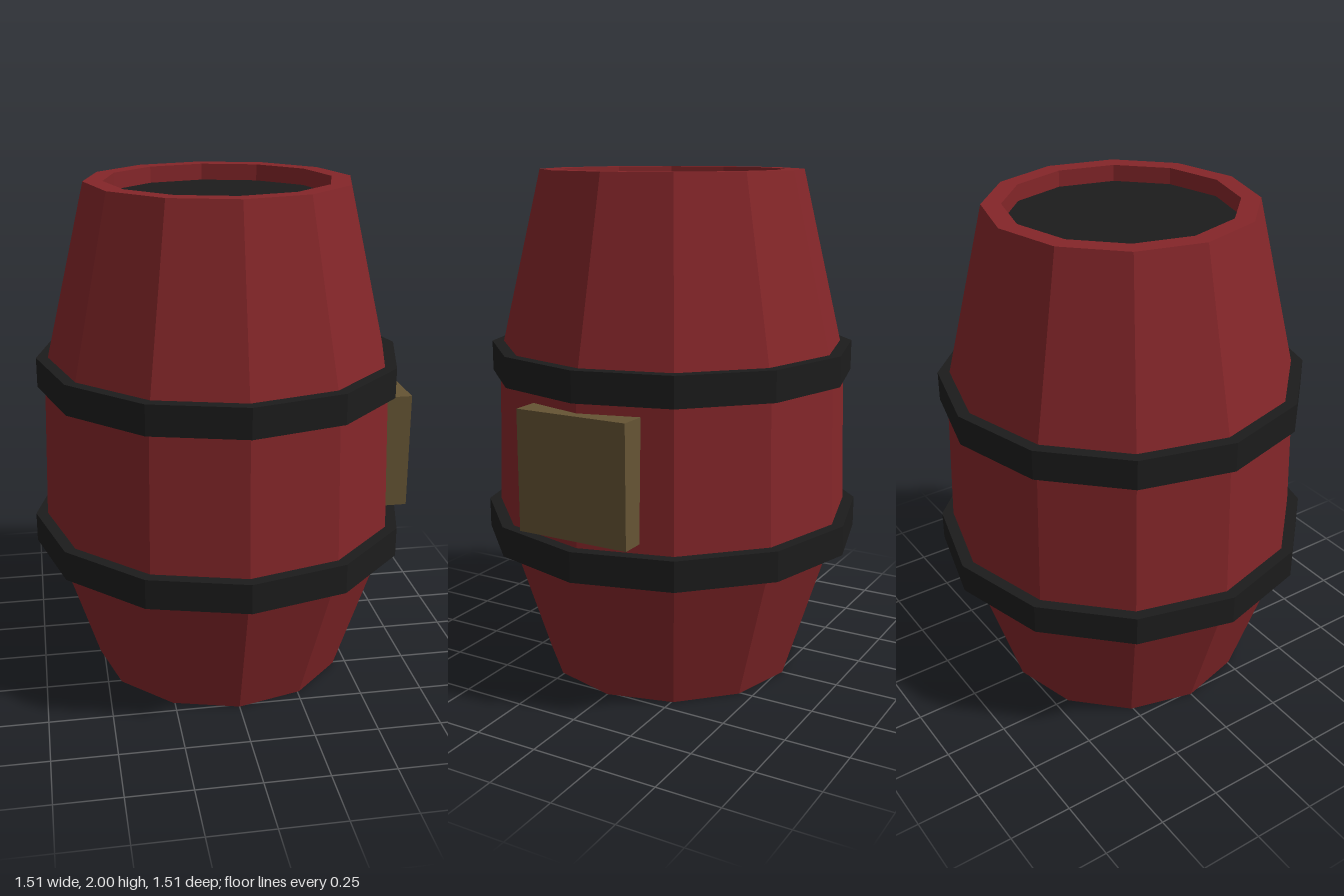
import * as THREE from 'three';

const SIDES = 12;
const flat = (color) => new THREE.MeshStandardMaterial({ color, flatShading: true });

export function createModel() {
  const barrel = new THREE.Group();
  barrel.name = 'barrel';
  const red = flat(0x842629);
  const black = flat(0x1c1c1c);
  const brass = flat(0x655434);

  const add = (name, geometry, material) => {
    const mesh = new THREE.Mesh(geometry, material);
    mesh.name = name;
    barrel.add(mesh);
    return mesh;
  };
  const lathe = (points) =>
    new THREE.LatheGeometry(points.map(([r, y]) => new THREE.Vector2(r, y)), SIDES);

  // Staved body with rims that turn inwards to the recessed lids
  add('body', lathe([
    [0.44, 0.065], [0.44, 0], [0.515, 0], [0.71, 0.61],
    [0.69, 1.265], [0.515, 2], [0.44, 2], [0.44, 1.935],
  ]), red);

  // Recessed lids
  for (const [name, y, turn] of [['topLid', 1.935, -1], ['bottomLid', 0.065, 1]]) {
    const lid = add(name, new THREE.CircleGeometry(0.44, SIDES), black);
    lid.rotation.x = turn * Math.PI / 2;
    lid.position.y = y;
  }

  // Metal hoops
  for (const [name, radius, bottom, top] of [
    ['lowerHoop', 0.755, 0.547, 0.665],
    ['upperHoop', 0.722, 1.207, 1.325],
  ]) {
    const inner = radius - 0.09;
    add(name, lathe([
      [inner, bottom], [radius, bottom], [radius, top], [inner, top], [inner, bottom],
    ]), black);
  }

  // Square plate on the left side
  const plate = add('sidePlate', new THREE.BoxGeometry(0.12, 0.465, 0.46), brass);
  plate.position.set(0.677, 0.933, 0);

  return barrel;
}
